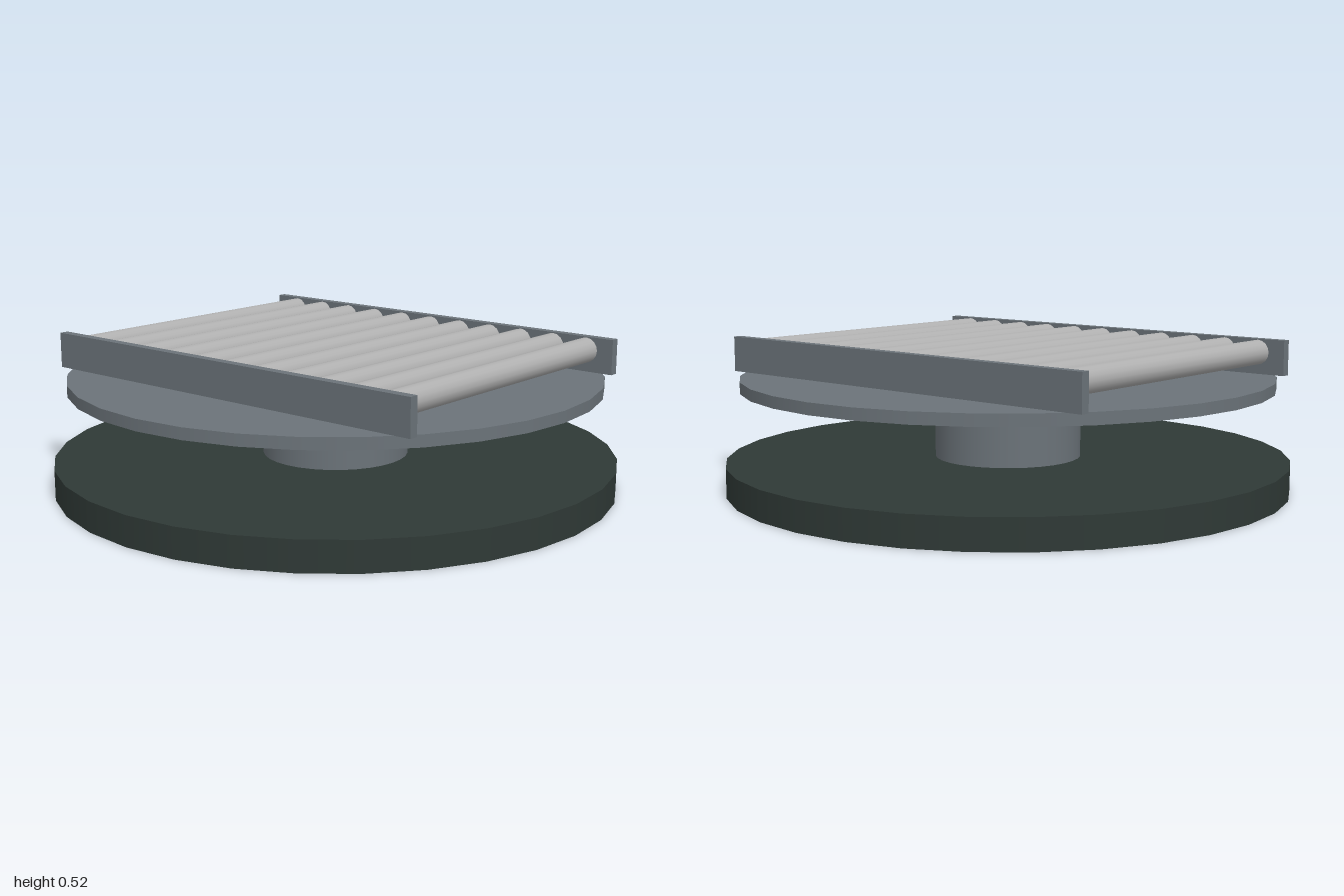
import * as THREE from 'three';

const mat = (name, color) => {
  const m = new THREE.MeshStandardMaterial({ color });
  m.name = name;
  return m;
};

export function createModel() {
  const group = new THREE.Group();
  group.name = 'rollerTurntable';

  const darkBase = mat('dark green grey', 0x2f3936);
  const steel = mat('steel grey', 0x6b7379);
  const roller = mat('light grey', 0xb0b0b0);

  const add = (name, geometry, material, x, y, z) => {
    const mesh = new THREE.Mesh(geometry, material);
    mesh.name = name;
    mesh.position.set(x, y, z);
    group.add(mesh);
    return mesh;
  };

  // Upright cylinder spanning two heights
  const disc = (name, radius, y0, y1, material) =>
    add(name, new THREE.CylinderGeometry(radius, radius, y1 - y0, 32), material, 0, (y0 + y1) / 2, 0);

  // Floor base, pedestal and turning plate
  disc('base', 1, 0, 0.105, darkBase);
  disc('pedestal', 0.26, 0.105, 0.36, steel);
  disc('turntablePlate', 0.945, 0.36, 0.4, steel);

  // Side rails holding the rollers
  const railGeometry = new THREE.BoxGeometry(1.58, 0.125, 0.032);
  add('frontRail', railGeometry, steel, 0, 0.4625, 0.578);
  add('backRail', railGeometry, steel, 0, 0.4625, -0.578);

  // Row of rollers running front to back
  const rollerGeometry = new THREE.CylinderGeometry(0.044, 0.044, 1.124, 16).rotateX(Math.PI / 2);
  for (let i = -5; i <= 5; i++) {
    add('roller', rollerGeometry, roller, i * 0.137, 0.478, 0);
  }

  return group;
}
